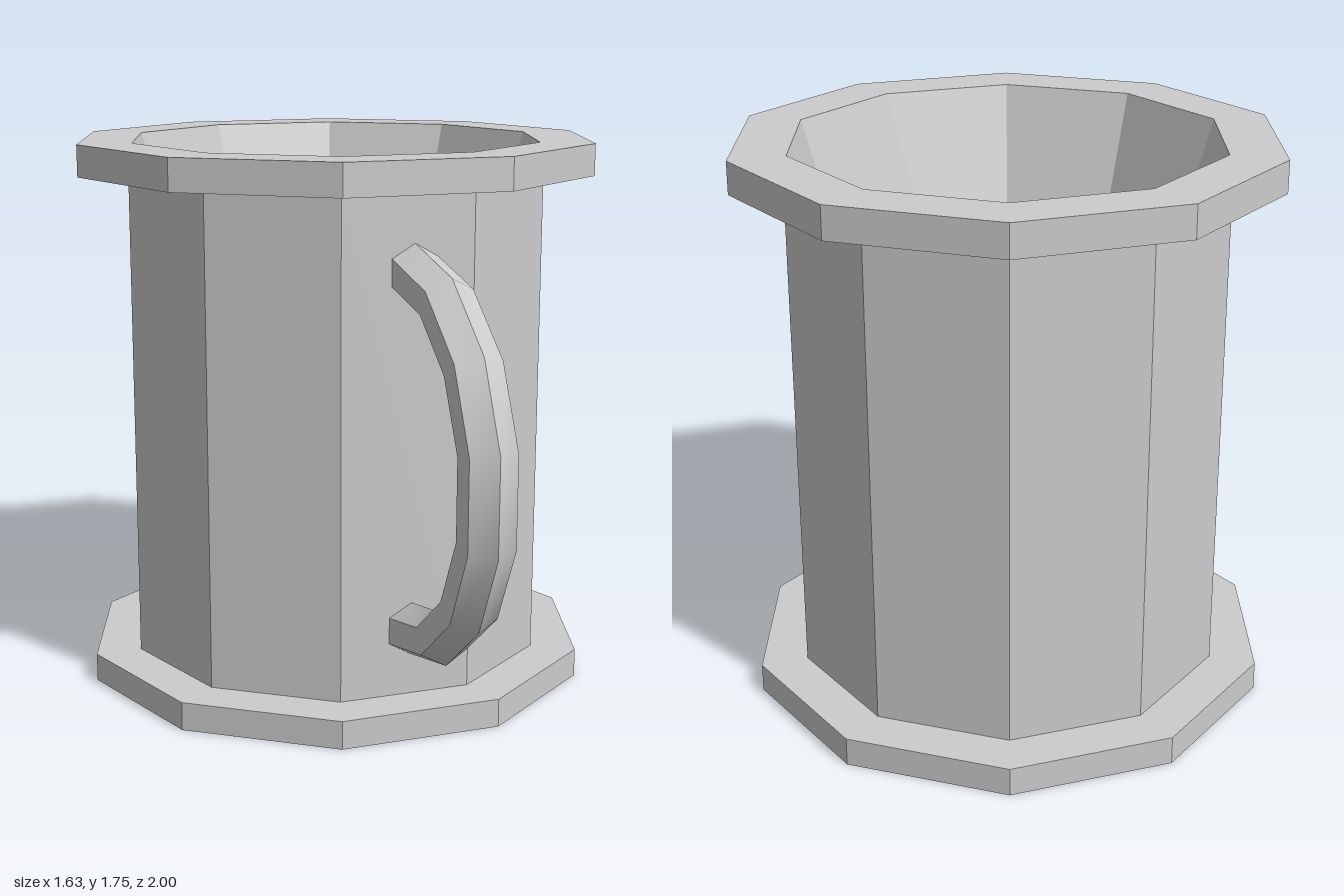
import * as THREE from 'three';

const SIDES = 10;
const TWIST = 0.07; // turn of the ten-sided body about y

// One closed lathe run: open foot ring, wall, rim, tapered inside, floor
function makeBody() {
  const profile = [
    [0.828, 0], [0.828, 0.09], [0.68, 0.09], [0.68, 1.65],
    [0.84, 1.65], [0.84, 1.75], [0.667, 1.75], [0.25, 0.33], [0, 0.33],
  ].map(([r, y]) => new THREE.Vector2(r, y));
  const geometry = new THREE.LatheGeometry(profile, SIDES, TWIST);
  const material = new THREE.MeshStandardMaterial({
    color: 0xcccccc, flatShading: true, side: THREE.DoubleSide,
  });
  const mesh = new THREE.Mesh(geometry, material);
  mesh.name = 'mugBody';
  return mesh;
}

// Six-sided handle: each section spans from an outer to an inner point [distance, y]
function makeHandle() {
  const midY = 0.855;
  const half = 0.073;
  const upper = [
    { outer: [0.648, 1.492], inner: [0.648, 1.325] },
    { outer: [0.92, 1.43], inner: [0.845, 1.285] },
    { outer: [1.146, 1.25], inner: [1.006, 1.16] },
    { outer: [1.264, 1.0], inner: [1.103, 0.968] },
  ];
  const flip = ([d, y]) => [d, 2 * midY - y];
  const lower = upper.map((s) => ({ outer: flip(s.outer), inner: flip(s.inner) })).reverse();
  const sections = [...upper, ...lower];

  // Hexagon corners: sideways offset and share of the way from outer to inner
  const hexagon = [[0, 0], [half, 0.25], [half, 0.75], [0, 1], [-half, 0.75], [-half, 0.25]];
  const corner = ({ outer, inner }, k) => {
    const [x, t] = hexagon[k % 6];
    return [x, outer[1] + (inner[1] - outer[1]) * t, outer[0] + (inner[0] - outer[0]) * t];
  };

  // One strip per side, smooth along its length and sharp across the edges
  const positions = [];
  const index = [];
  for (let k = 0; k < 6; k++) {
    const base = positions.length / 3;
    sections.forEach((s, i) => {
      positions.push(...corner(s, k), ...corner(s, k + 1));
      if (i === 0) return;
      const a = base + 2 * (i - 1);
      index.push(a, a + 2, a + 1, a + 1, a + 2, a + 3);
    });
  }
  const geometry = new THREE.BufferGeometry();
  geometry.setAttribute('position', new THREE.Float32BufferAttribute(positions, 3));
  geometry.setIndex(index);
  geometry.computeVertexNormals();
  const material = new THREE.MeshStandardMaterial({ color: 0xcccccc, side: THREE.DoubleSide });
  const mesh = new THREE.Mesh(geometry, material);
  mesh.name = 'handle';
  mesh.position.x = 0.02;
  return mesh;
}

export function createModel() {
  const model = new THREE.Group();
  model.name = 'mug';

  // The handle leaves the middle of one wall face
  const handleMount = new THREE.Group();
  handleMount.name = 'handleMount';
  handleMount.rotation.y = TWIST + Math.PI / SIDES;
  handleMount.add(makeHandle());

  const mug = new THREE.Group();
  mug.name = 'mugAssembly';
  mug.position.z = -0.163;
  mug.add(makeBody(), handleMount);
  model.add(mug);
  return model;
}
